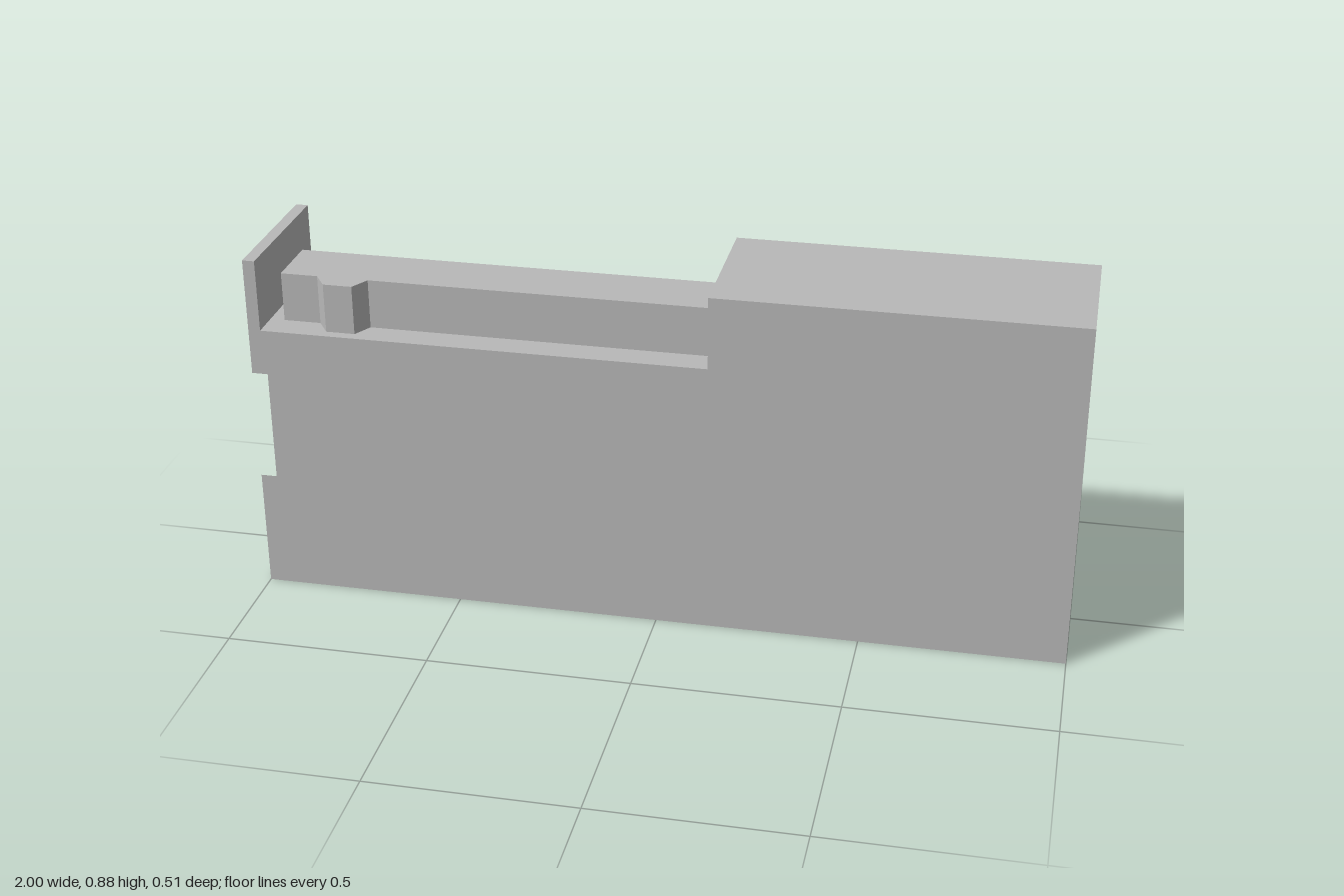
import * as THREE from 'three';

const BACK = -0.165, FRONT = 0.21, TOP = 0.875, FLOOR = 0.695;
const SLOT_Z = 0.115, SLOT_END = 0.855;

// Flat polygon in space, triangulated and turned to face the given normal
function panel(points, normal, holes = []) {
  const n = new THREE.Vector3(...normal);
  const size = normal.map(Math.abs);
  const axis = size.indexOf(Math.max(...size));
  const flat = (loop) => loop.map((p) => new THREE.Vector2(...p.filter((_, i) => i !== axis)));
  const all = [points, ...holes].flat().map((p) => new THREE.Vector3(...p));
  const out = [];
  for (const tri of THREE.ShapeUtils.triangulateShape(flat(points), holes.map(flat))) {
    const [a, b, c] = tri.map((i) => all[i]);
    const facing = b.clone().sub(a).cross(c.clone().sub(a)).dot(n);
    for (const v of facing > 0 ? [a, b, c] : [a, c, b]) out.push(v.x, v.y, v.z);
  }
  return out;
}

// Wall between two depths along one edge of a counter-clockwise loop
function wall([ax, ay], [bx, by], z0, z1, side) {
  return panel([[ax, ay, z0], [bx, by, z0], [bx, by, z1], [ax, ay, z1]],
    [side * (by - ay), side * (ax - bx), 0]);
}

const atZ = (loop, z) => loop.map(([x, y]) => [x, y, z]);

function bodyGeometry() {
  const outline = [[-1, 0], [1, 0], [1, TOP], [0.125, TOP], [0.125, FLOOR],
    [-0.97, FLOOR], [-0.97, TOP], [-1, TOP]];
  const pockets = [[-0.815, -0.69], [-0.06, 0.06]].map(([l, r]) =>
    [[l, 0.03], [r, 0.03], [r, 0.15], [l, 0.15]]);
  const faces = [];

  // Outer walls, leaving the slotted end for its own panel
  for (let i = 0; i < outline.length - 1; i++) {
    faces.push(wall(outline[i], outline[i + 1], BACK, FRONT, 1));
  }

  // Front face with the slot opening, and back face with its pocket openings
  const front = [...outline, [-1, 0.58], [SLOT_END, 0.58], [SLOT_END, 0.3], [-1, 0.3]];
  faces.push(panel(atZ(front, FRONT), [0, 0, 1]));
  faces.push(panel(atZ(outline, BACK), [0, 0, -1], pockets.map((p) => atZ(p, BACK))));

  // Undercut slot: profile swept from the open end to the closed end
  const slot = [[0.58, FRONT], [0.67, SLOT_Z], [0.21, SLOT_Z], [0.3, FRONT]];
  const atX = (x) => slot.map(([y, z]) => [x, y, z]);
  const open = atX(-1), closed = atX(SLOT_END);
  [[0, -1, -1], [0, 0, 1], [0, 1, -1]].forEach((normal, i) => {
    faces.push(panel([open[i], open[i + 1], closed[i + 1], closed[i]], normal));
  });
  faces.push(panel(closed, [-1, 0, 0]));
  faces.push(panel([[-1, 0, FRONT], [-1, 0, BACK], [-1, TOP, BACK], [-1, TOP, FRONT], ...open],
    [-1, 0, 0]));

  // Latch pockets
  for (const p of pockets) {
    p.forEach((a, i) => faces.push(wall(a, p[(i + 1) % 4], BACK, BACK + 0.05, -1)));
    faces.push(panel(atZ(p, BACK + 0.05), [0, 0, -1]));
  }

  const geometry = new THREE.BufferGeometry();
  geometry.setAttribute('position', new THREE.Float32BufferAttribute(faces.flat(), 3));
  geometry.computeVertexNormals();
  return geometry;
}

function prism(points, depth) {
  const shape = new THREE.Shape(points.map((p) => new THREE.Vector2(...p)));
  return new THREE.ExtrudeGeometry(shape, { depth, bevelEnabled: false });
}

export function createModel() {
  const group = new THREE.Group();
  const grey = new THREE.MeshStandardMaterial({ color: 0xb8b8b8 });
  grey.name = 'grey plastic';
  const add = (name, geometry) => {
    const mesh = new THREE.Mesh(geometry, grey);
    mesh.name = name;
    group.add(mesh);
  };

  add('body', bodyGeometry());

  // Dovetail rail on the back
  add('dovetailRail', prism([[0.165, 0.345], [0.255, 0.26], [0.255, 0.62], [0.165, 0.53]], 1.81)
    .rotateY(Math.PI / 2).translate(-1, 0, 0));

  // Springy latch arm and its catch
  const bottom = 0.729, top = 0.85;
  add('latchArm', new THREE.BoxGeometry(1.03, top - bottom, 0.15)
    .translate(-0.39, (top + bottom) / 2, 0.135));
  add('latchCatch', prism([[-0.815, FRONT], [-0.69, FRONT], [-0.715, 0.255], [-0.785, 0.255]], top - bottom)
    .rotateX(Math.PI / 2).translate(0, top, 0));

  return group;
}
